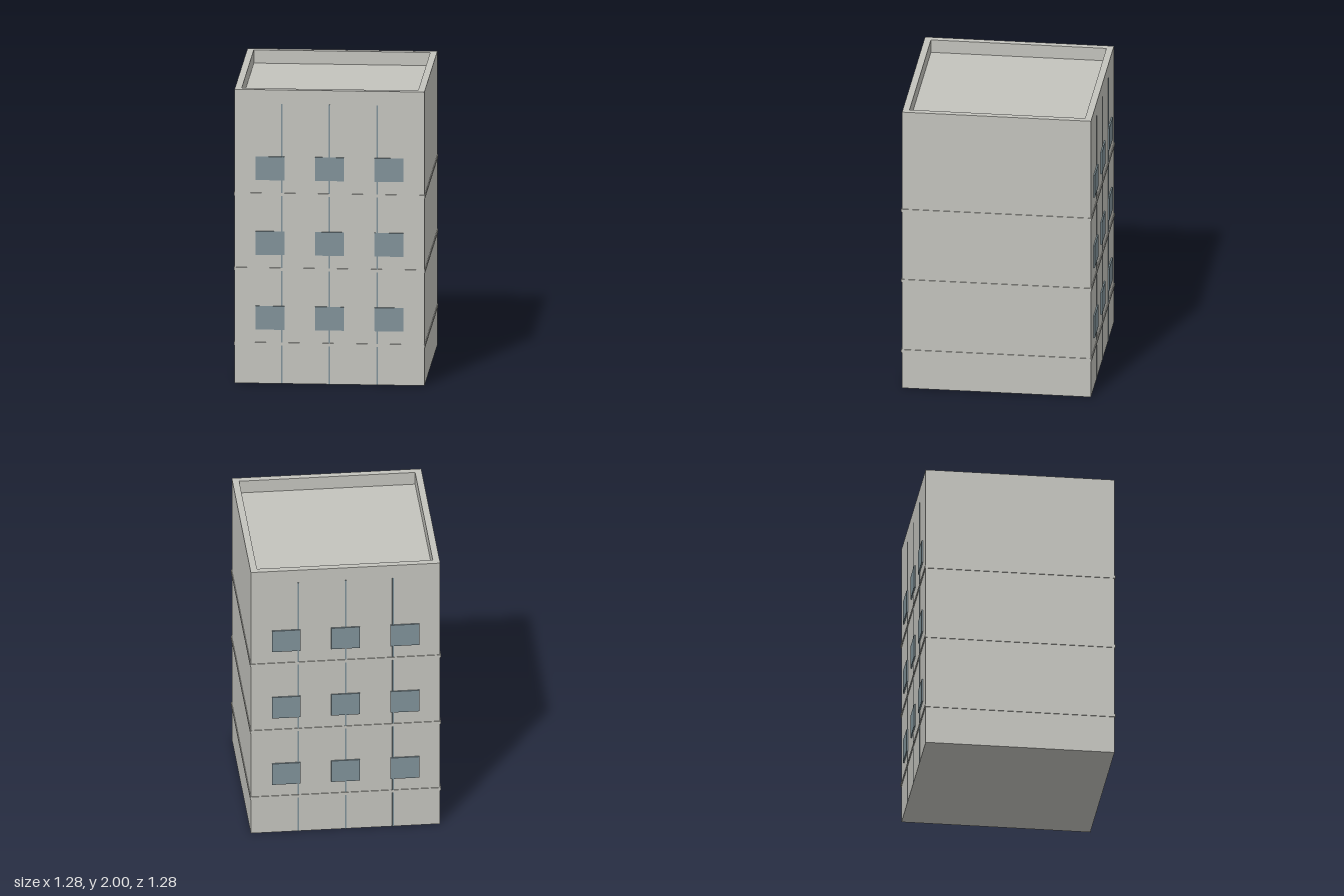
import * as THREE from 'three';

const H = 0.633;        // half width of the block
const ROOF = 1.91;      // roof deck height
const TOP = 2;          // parapet top
const INNER = 0.588;    // parapet inner half width

function squareShape(h) {
  return new THREE.Shape([[-h, -h], [h, -h], [h, h], [-h, h]].map(([x, y]) => new THREE.Vector2(x, y)));
}

// Square ring lying flat, rising from y0 to y1
function ringGeometry(outer, inner, y0, y1) {
  const shape = squareShape(outer);
  shape.holes.push(squareShape(inner));
  const geo = new THREE.ExtrudeGeometry(shape, { depth: y1 - y0, bevelEnabled: false });
  geo.rotateX(-Math.PI / 2);
  geo.translate(0, y0, 0);
  return geo;
}

export function createModel() {
  const concrete = new THREE.MeshStandardMaterial({ name: 'concrete', color: 0xc3c3bd });
  const glass = new THREE.MeshStandardMaterial({ name: 'blueGreyGlass', color: 0x7f9198 });
  const building = new THREE.Group();
  building.name = 'building';

  const add = (name, geo, mat, parent = building) => {
    const mesh = new THREE.Mesh(geo, mat);
    mesh.name = name;
    parent.add(mesh);
    return mesh;
  };

  // Main block with a sunken roof deck
  add('block', new THREE.BoxGeometry(2 * H, ROOF, 2 * H).translate(0, ROOF / 2, 0), concrete);
  add('parapet', ringGeometry(H, INNER, ROOF, TOP), concrete);

  // Floor bands around all four sides
  const floors = [0.27, 0.779, 1.288];
  for (const y of floors) add('floorBand', ringGeometry(H + 0.005, H - 0.02, y - 0.01, y + 0.01), concrete);

  // Front and back facades: vertical strips and windows
  const stripGeo = new THREE.BoxGeometry(0.01, 1.905, 0.006);
  const windowGeo = new THREE.BoxGeometry(0.192, 0.16, 0.0095);
  for (const side of ['front', 'back']) {
    const facade = new THREE.Group();
    facade.name = side + 'Facade';
    if (side === 'back') facade.rotation.y = Math.PI;
    building.add(facade);
    for (const i of [-1, 0, 1]) {
      add('strip', stripGeo, glass, facade).position.set(i * 0.317, 1.905 / 2, H);
      for (const y of floors) {
        add('window', windowGeo, glass, facade).position.set(i * 0.397, y + 0.178, H + 0.0045);
      }
    }
  }
  return building;
}
